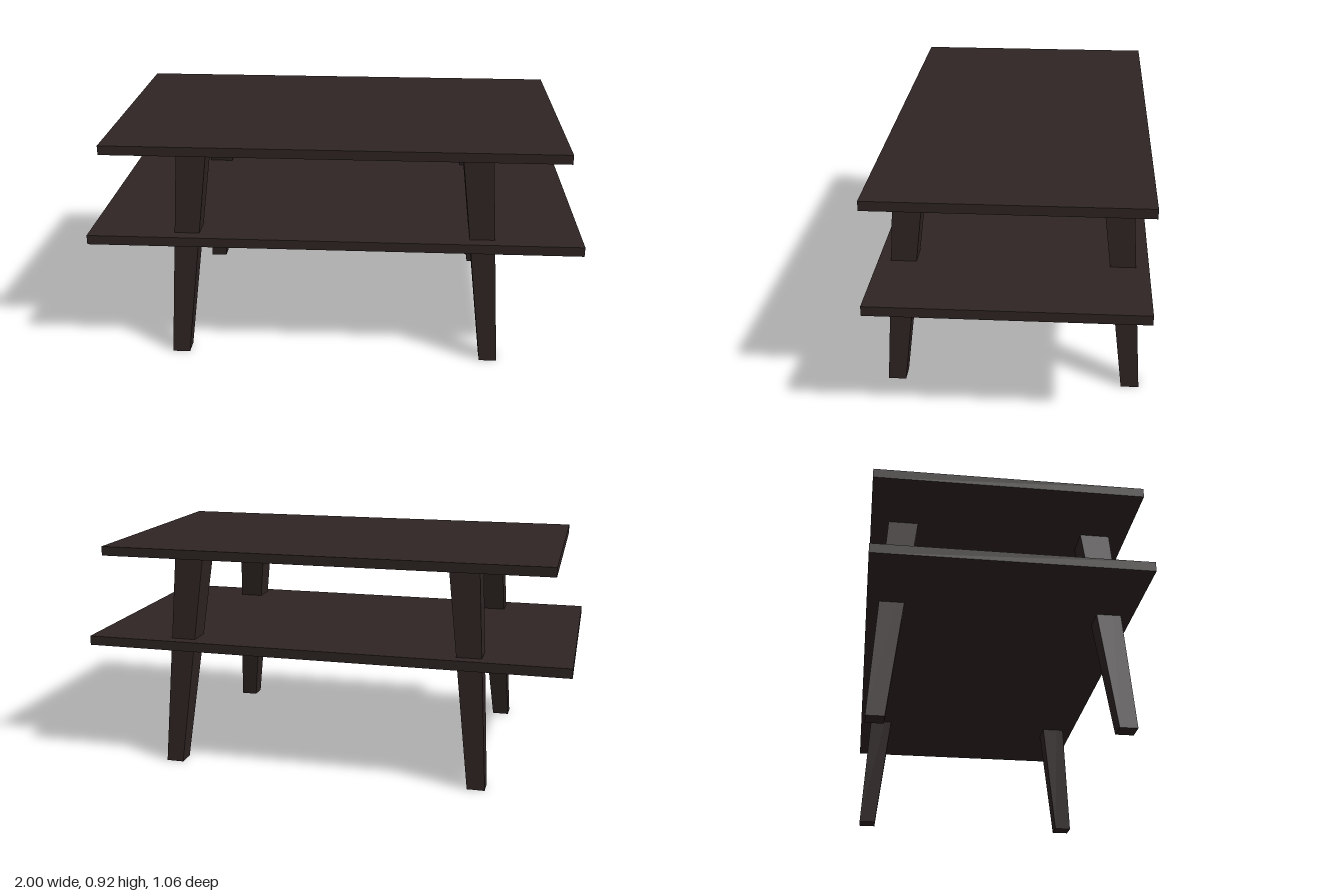
import * as THREE from 'three';

const wood = new THREE.MeshStandardMaterial({ color: 0x2e2423 });
wood.name = 'darkWood';

// Flat board resting with its underside at the given height
function board(name, width, bottom, top) {
  const mesh = new THREE.Mesh(new THREE.BoxGeometry(width, top - bottom, 1.06), wood);
  mesh.name = name;
  mesh.position.y = (bottom + top) / 2;
  return mesh;
}

// Square leg, tapering and splaying outward towards the floor
function leg(name, sx, sz) {
  const height = 0.886;
  const geo = new THREE.BoxGeometry(1, height, 1);
  geo.translate(0, height / 2, 0);
  const p = geo.attributes.position;
  for (let i = 0; i < p.count; i++) {
    const t = p.getY(i) / height;
    const size = THREE.MathUtils.lerp(0.072, 0.12, t);
    p.setX(i, p.getX(i) * size + sx * THREE.MathUtils.lerp(0.646, 0.568, t));
    p.setZ(i, p.getZ(i) * size + sz * THREE.MathUtils.lerp(0.477, 0.398, t));
  }
  geo.computeVertexNormals();
  const mesh = new THREE.Mesh(geo, wood);
  mesh.name = name;
  return mesh;
}

export function createModel() {
  const table = new THREE.Group();
  table.name = 'coffeeTable';

  table.add(board('tableTop', 1.844, 0.885, 0.923));
  table.add(board('lowerShelf', 2, 0.498, 0.537));

  // Four mirrored legs passing through the shelf
  for (const [sx, side] of [[1, 'Left'], [-1, 'Right']]) {
    for (const [sz, end] of [[1, 'front'], [-1, 'back']]) {
      table.add(leg(`${end}${side}Leg`, sx, sz));
    }
  }
  return table;
}
